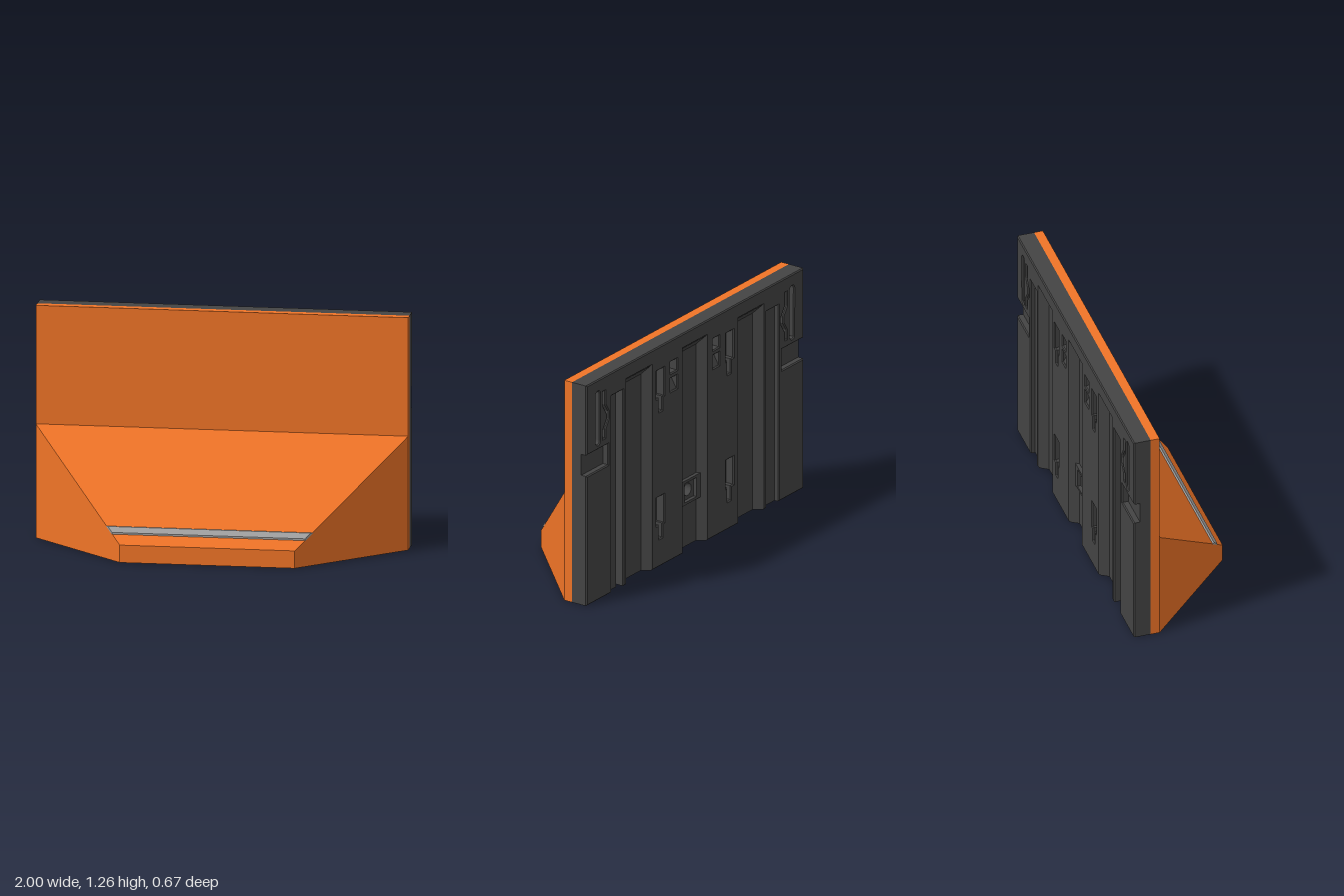
import * as THREE from 'three';

const mat = (color, side = THREE.FrontSide) =>
  new THREE.MeshStandardMaterial({ color, side, flatShading: true });
const orange = mat(0xf07427), dark = mat(0x444444), grey = mat(0xa0a0a0);
const darkThin = mat(0x444444, THREE.DoubleSide);

const W = 1, H = 1.265;            // half width and height of the panel
const FLOOR = -0.285, BACK = -0.335; // recess floor and rear face

function add(group, name, geometry, material) {
  const mesh = new THREE.Mesh(geometry, material);
  mesh.name = name;
  group.add(mesh);
  return mesh;
}

// Box given by its limits
function box(x0, x1, y0, y1, z0, z1) {
  return new THREE.BoxGeometry(x1 - x0, y1 - y0, z1 - z0)
    .translate((x0 + x1) / 2, (y0 + y1) / 2, (z0 + z1) / 2);
}

// Flat polygons, each fanned from its first corner
function polygons(faces) {
  const pos = [];
  for (const f of faces)
    for (let i = 1; i < f.length - 1; i++) pos.push(...f[0], ...f[i], ...f[i + 1]);
  const g = new THREE.BufferGeometry();
  g.setAttribute('position', new THREE.Float32BufferAttribute(pos, 3));
  g.computeVertexNormals();
  return g;
}

const outline = (pts, Type = THREE.Shape) => new Type(pts.map(p => new THREE.Vector2(...p)));
const rect = (x0, x1, y0, y1) => [[x0, y0], [x1, y0], [x1, y1], [x0, y1]];
const circle = (x, y, r) => new THREE.Path().absarc(x, y, r, 0, Math.PI * 2, true);

// Hood corners: bottom 0-3 and top 4-7, running round from the rear -x corner
function hoodCorners(xb, yb, xf, yf, zf) {
  const zb = -0.19;
  const plan = [[-xb, zb, yb], [-xf, zf, yf], [xf, zf, yf], [xb, zb, yb]];
  return [...plan.map(([x, z]) => [x, 0, z]), ...plan.map(([x, z, y]) => [x, y, z])];
}

function hoodGeometry() {
  const o = hoodCorners(1, 0.62, 0.47, 0.095, 0.335);
  const n = hoodCorners(0.943, 0.563, 0.453, 0.078, 0.295);
  const sides = [[0, 1, 5, 4], [1, 2, 6, 5], [2, 3, 7, 6], [4, 5, 6, 7]];
  const faces = [];
  for (const s of sides) {
    faces.push(s.map(i => o[i]));
    faces.push(s.map(i => n[i]).reverse());
  }
  for (let k = 0; k < 3; k++) faces.push([o[k], n[k], n[k + 1], o[k + 1]]); // bottom rim
  return polygons(faces);
}

// Strip across the slope, its ends cut along the hood's side planes
function stripGeometry() {
  const profile = [[-0.288, 0.14], [-0.25, 0.178], [-0.262, 0.178], [-0.288, 0.152]];
  const g = new THREE.ExtrudeGeometry(outline(profile), { depth: 1, bevelEnabled: false });
  g.rotateY(Math.PI / 2);
  const p = g.attributes.position;
  for (let i = 0; i < p.count; i++)
    p.setX(i, (p.getX(i) > 0.5 ? 1 : -1) * (0.807 - p.getZ(i)));
  g.computeVertexNormals();
  return g;
}

// Sloped walls of one wide channel, open at the bottom
function channelWalls(a, b, h) {
  const s = 0.03, r = BACK + 0.004, f = FLOOR, t = h - 0.05;
  return polygons([
    [[a, 0, r], [a, h, r], [a + s, t, f], [a + s, 0, f]],
    [[b, 0, r], [b, h, r], [b - s, t, f], [b - s, 0, f]],
    [[a, h, r], [b, h, r], [b - s, t, f], [a + s, t, f]],
    [[a, 0, r], [a + s, 0, f], [a, 0, f]],
    [[b, 0, r], [b - s, 0, f], [b, 0, f]],
  ]);
}

function ribbedBack(group) {
  // Recesses open at the bottom edge: left limit, right limit, top
  const channels = [[-0.63, -0.4, 1.18], [-0.11, 0.11, 1.18], [0.4, 0.63, 1.18]];
  const strips = [[-0.77, -0.66, 1.13], [0.66, 0.77, 1.13]];
  const notches = [strips[0], ...channels, strips[1]]
    .flatMap(([a, b, h]) => [[a, 0], [a, h], [b, h], [b, 0]]);
  const edge = [[1, 0], [1, 0.745], [0.8, 0.745], [0.8, 0.865], [1, 0.865], [1, H]];
  const shape = outline([...notches, ...edge, ...edge.map(([x, y]) => [-x, y]).reverse()]);

  for (const s of [-1, 1]) {
    const hole = pts => shape.holes.push(outline(pts.map(([x, y]) => [x * s, y]), THREE.Path));
    // rounded long slot
    const slot = [];
    for (let i = 0; i <= 12; i++) {
      const a = Math.PI * i / 6, up = i <= 6 ? 1.18 : 0.91;
      slot.push([0.895 + 0.018 * Math.cos(a), up + 0.018 * Math.sin(a)]);
      if (i === 6) slot.push([0.877, 0.91]);
    }
    hole(slot.slice(0, -1));
    // bent spring slit
    const bend = [[0.828, 1.18], [0.828, 1.1], [0.795, 1.05], [0.795, 1.01], [0.828, 0.96], [0.828, 0.91]];
    hole([...bend, ...bend.map(([x, y]) => [x + 0.018, y]).reverse()]);
    // keyhole hangers
    for (const y of [0.89, 0.16])
      hole([[0.3, y], [0.33, y], [0.33, y + 0.08], [0.355, y + 0.08],
        [0.355, y + 0.24], [0.285, y + 0.24], [0.285, y + 0.08], [0.3, y + 0.08]]);
    // latch pockets
    hole(rect(0.165, 0.225, 0.97, 1.045));
    hole(rect(0.165, 0.225, 1.075, 1.14));
  }
  const c = 0.006;
  add(group, 'backRibs', new THREE.ExtrudeGeometry(shape, {
    depth: 0.048, bevelSize: c, bevelThickness: c, bevelOffset: -c, bevelSegments: 1,
  }).translate(0, 0, BACK + c), dark);

  for (const [a, b, h] of channels)
    add(group, 'channelWalls', channelWalls(a, b, h), darkThin);

  for (const s of [-1, 1]) {
    const span = (a, b) => [Math.min(a * s, b * s), Math.max(a * s, b * s)];
    add(group, 'sideStrip', box(...span(0.69, 0.772), 0, 1.132, -0.308, -0.28), dark);
    add(group, 'sideNotchFloor', box(...span(0.79, 1), 0.74, 0.87, -0.3, -0.28), dark);
    const [x0, x1] = span(0.165, 0.225);
    add(group, 'latchRamp', polygons([
      [[x0, 0.965, BACK + 0.005], [x1, 0.965, BACK + 0.005], [x1, 1.045, FLOOR], [x0, 1.045, FLOOR]],
    ]), darkThin);
  }
}

export function createModel() {
  const model = new THREE.Group();
  model.name = 'hoodedPanel';

  add(model, 'frontPanel', box(-W, W, 0, H, -0.24, -0.19), orange);
  add(model, 'hood', hoodGeometry(), orange);
  add(model, 'slopeStrip', stripGeometry(), grey);

  const back = new THREE.Group();
  back.name = 'backPanel';
  model.add(back);

  // Base plate with the screw hole
  const plate = outline(rect(-W, W, 0, H));
  plate.holes.push(circle(0, 0.32, 0.035));
  add(back, 'backPlate', new THREE.ExtrudeGeometry(plate, { depth: 0.045, bevelEnabled: false })
    .translate(0, 0, FLOOR), dark);
  ribbedBack(back);

  // Raised frame around the screw hole
  const frame = outline(rect(-0.095, 0.095, 0.25, 0.39));
  frame.holes.push(outline(rect(-0.055, 0.055, 0.265, 0.375), THREE.Path));
  add(back, 'screwFrame', new THREE.ExtrudeGeometry(frame, { depth: 0.025, bevelEnabled: false })
    .translate(0, 0, FLOOR - 0.02), dark);

  return model;
}
